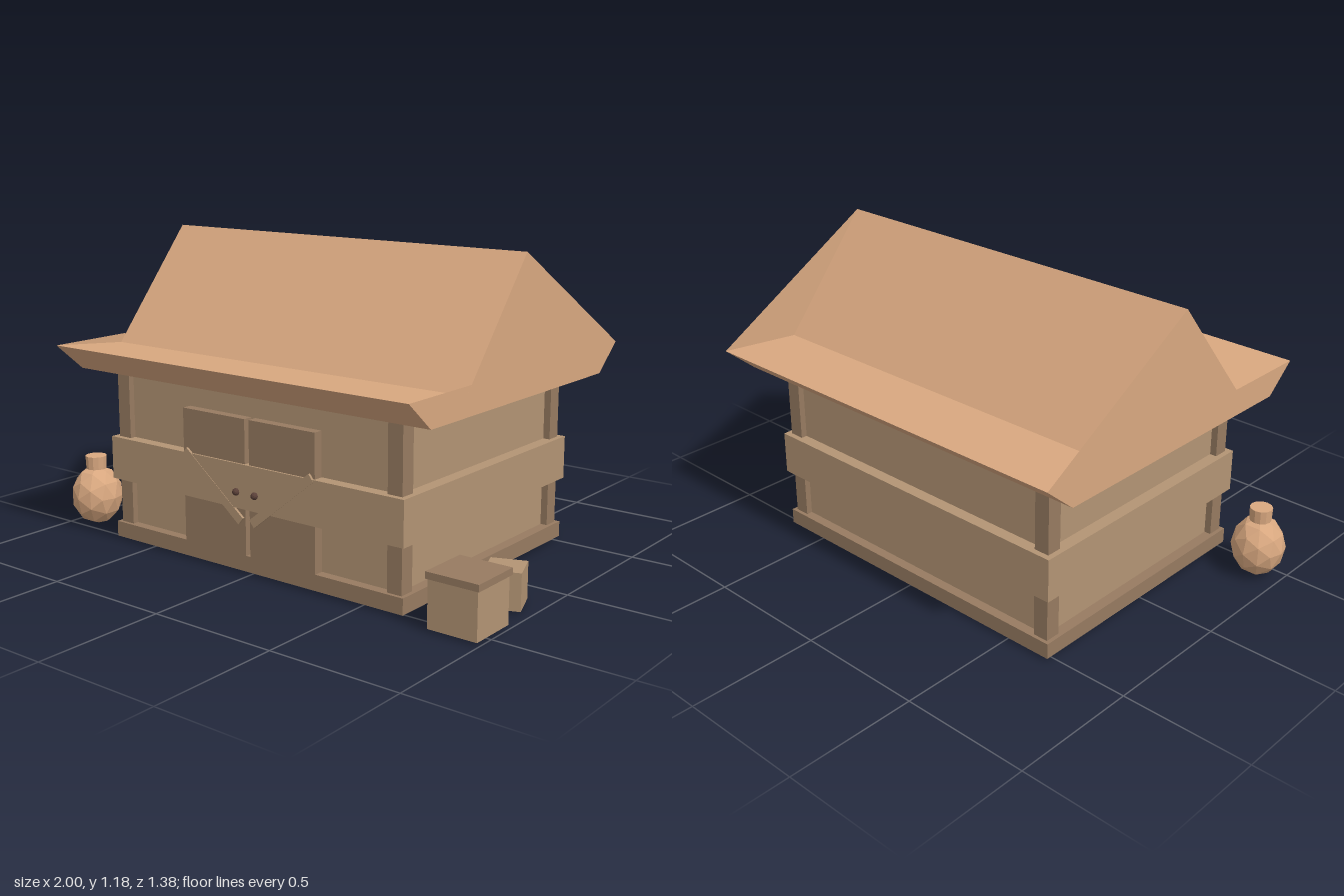
import * as THREE from 'three';

const paint = (color, side = THREE.FrontSide) =>
  new THREE.MeshStandardMaterial({ color, side, flatShading: true });

export function createModel() {
  const model = new THREE.Group();
  const lightWood = paint(0xb39474);
  const darkWood = paint(0x977b61);
  const clay = paint(0xd9a880, THREE.DoubleSide);
  const iron = paint(0x5a4038);

  const add = (parent, name, geometry, material, x = 0, y = 0, z = 0) => {
    const mesh = new THREE.Mesh(geometry, material);
    mesh.name = name;
    mesh.position.set(x, y, z);
    parent.add(mesh);
    return mesh;
  };
  // Box standing between heights y0 and y1
  const block = (parent, name, material, w, y0, y1, d, x = 0, z = 0) =>
    add(parent, name, new THREE.BoxGeometry(w, y1 - y0, d), material, x, (y0 + y1) / 2, z);

  const hut = new THREE.Group();
  hut.name = 'hut';
  hut.position.x = -0.008;
  model.add(hut);

  // Body
  block(hut, 'base', darkWood, 1.364, 0.01, 0.07, 1.056);
  block(hut, 'walls', lightWood, 1.28, 0.07, 0.675, 0.98);
  block(hut, 'wallBand', lightWood, 1.376, 0.246, 0.412, 1.072);
  for (const sx of [-1, 1])
    for (const sz of [-1, 1])
      block(hut, 'cornerPost', darkWood, 0.06, 0.07, 0.675, 0.06, sx * 0.637, sz * 0.484);

  // Double door with diagonal braces and knobs
  for (const s of [-1, 1]) {
    block(hut, 'door', darkWood, 0.3, 0.07, 0.577, 0.05, s * 0.16, 0.503);
    const brace = add(hut, 'doorBrace', new THREE.BoxGeometry(0.35, 0.034, 0.03), lightWood,
      s * 0.163, 0.308, 0.5225);
    brace.rotation.z = s * 0.675;
    add(hut, 'doorKnob', new THREE.IcosahedronGeometry(0.014, 1), iron, s * 0.044, 0.307, 0.54);
  }

  // Roof with upturned eaves, extruded along the ridge
  const roof = new THREE.Group();
  roof.name = 'roof';
  roof.rotation.y = -Math.PI / 2;
  hut.add(roof);
  const shape = (points) => new THREE.Shape(points.map(([a, b]) => new THREE.Vector2(a, b)));
  const length = 1.618;
  const profile = shape([[0, 1.178], [-0.36, 0.742], [-0.688, 0.775], [-0.565, 0.67],
    [0.565, 0.67], [0.688, 0.775], [0.36, 0.742]]);
  add(roof, 'roofShell',
    new THREE.ExtrudeGeometry(profile, { depth: length, bevelEnabled: false }), clay, 0, 0, -length / 2);
  // Gable boards filling the hollows at both ends
  const boards = [
    [[0, 1.178], [-0.688, 0.775], [-0.36, 0.742]],
    [[0.333, 0.775], [0.36, 0.742], [0.688, 0.775]],
  ];
  for (const end of [-1, 1])
    for (const board of boards)
      add(roof, 'gableBoard', new THREE.ShapeGeometry(shape(board)), clay, 0, 0, end * length / 2);

  // Faceted jar
  const jar = new THREE.Group();
  jar.name = 'jar';
  jar.position.set(-0.898, 0, 0.442);
  model.add(jar);
  add(jar, 'jarBody', new THREE.IcosahedronGeometry(0.103, 1), clay, 0, 0.121, 0).scale.y = 1.17;
  add(jar, 'jarNeck', new THREE.CylinderGeometry(0.043, 0.041, 0.052, 12), clay, 0, 0.257, 0);

  // Crates beside the hut
  block(model, 'crate', lightWood, 0.19, 0.01, 0.182, 0.19, 0.896, 0.477);
  block(model, 'crateLid', darkWood, 0.203, 0.182, 0.207, 0.203, 0.897, 0.477);
  block(model, 'smallCrate', lightWood, 0.13, 0.01, 0.146, 0.13, 0.882, 0.222).rotation.y = 0.36;

  return model;
}
